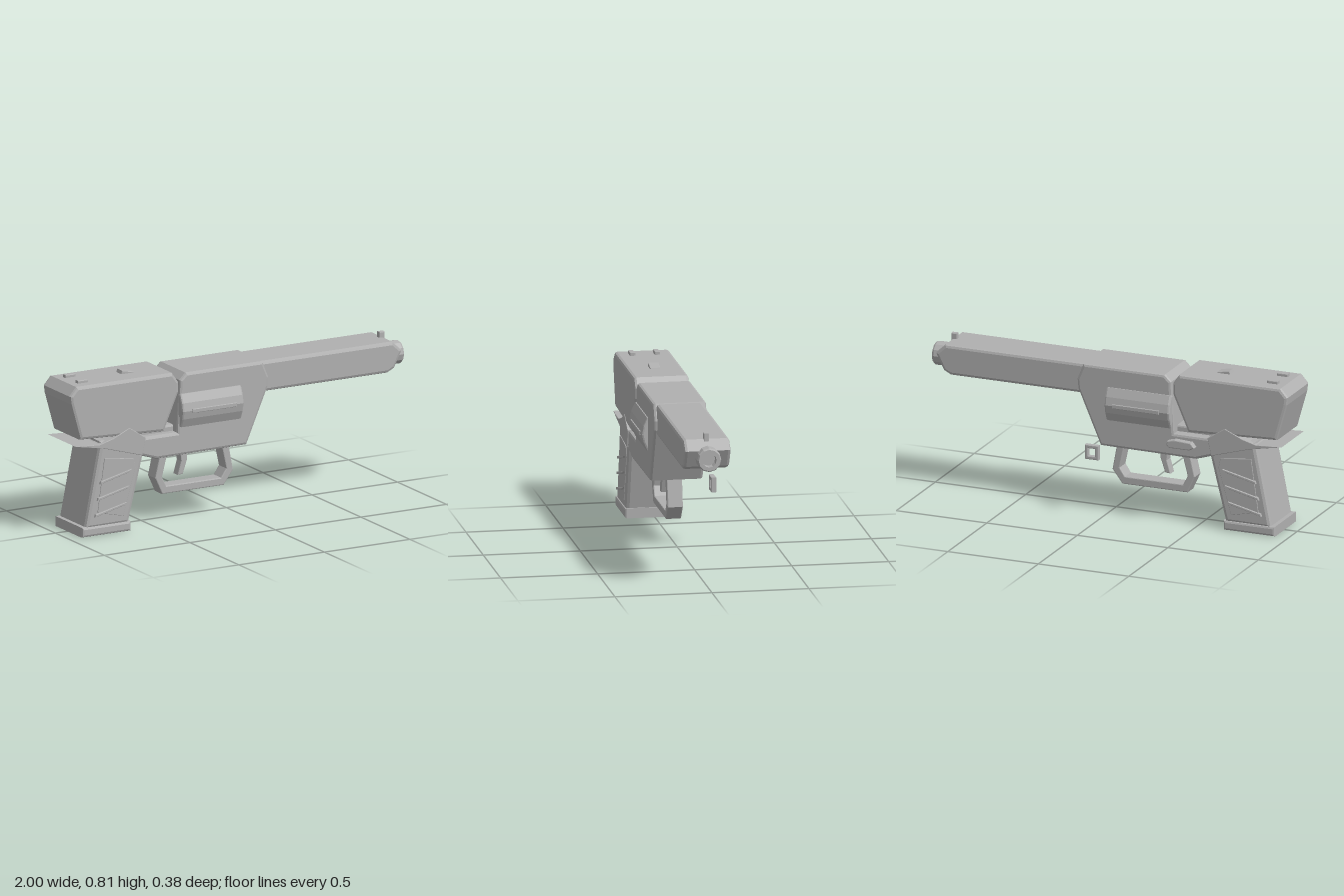
import * as THREE from 'three';

const CZ = 0.012; // centre plane of the body

export function createModel() {
  const group = new THREE.Group();
  const grey = new THREE.MeshStandardMaterial({ color: 0xb0b0b0 });
  grey.name = 'grey';

  const add = (name, geo, x = 0, y = 0, z = CZ) => {
    const mesh = new THREE.Mesh(geo, grey);
    mesh.name = name;
    mesh.position.set(x, y, z);
    group.add(mesh);
    return mesh;
  };
  const toVectors = (pts) => pts.map(([x, y]) => new THREE.Vector2(x, y));

  // Side profile extruded to a full width, bevelled inwards and centred on z
  const slab = (pts, width, bevel, hole) => {
    const shape = new THREE.Shape(toVectors(pts));
    if (hole) shape.holes.push(new THREE.Path(toVectors(hole)));
    const geo = new THREE.ExtrudeGeometry(shape, {
      depth: width - 2 * bevel, bevelEnabled: true, bevelThickness: bevel,
      bevelSize: bevel, bevelOffset: -bevel, bevelSegments: 2,
    });
    return geo.translate(0, 0, bevel - width / 2);
  };
  const rect = (x0, x1, y0, y1) => [[x0, y0], [x1, y0], [x1, y1], [x0, y1]];

  // Main body blocks
  add('rearBlock', slab([
    [-0.94, 0.515], [-0.45, 0.495], [-0.365, 0.69], [-0.365, 0.745],
    [-0.4, 0.795], [-0.96, 0.795], [-1, 0.75], [-0.995, 0.71],
  ], 0.284, 0.015));
  add('frame', slab([
    [-0.6, 0.39], [-0.49, 0.355], [0.035, 0.36], [0.16, 0.65], [0.165, 0.7],
    [0.13, 0.785], [-0.32, 0.785], [-0.355, 0.75], [-0.372, 0.478], [-0.58, 0.478],
  ], 0.276, 0.014));
  add('innerBridge', slab(rect(-0.7, -0.33, 0.44, 0.51), 0.18, 0.01));
  add('barrelShroud', slab([
    [0.08, 0.62], [0.87, 0.62], [0.91, 0.64], [0.955, 0.73], [0.9, 0.78], [0.08, 0.78],
  ], 0.24, 0.016));
  add('underLug', slab(rect(0.07, 0.14, 0.535, 0.59), 0.052, 0.006));

  // Hollow muzzle ring turned around the x axis
  const muzzle = new THREE.LatheGeometry(toVectors([
    [0.036, 0.9], [0.062, 0.9], [0.062, 0.99], [0.056, 1], [0.036, 1], [0.036, 0.9],
  ]), 12).toNonIndexed();
  muzzle.computeVertexNormals();
  add('muzzle', muzzle.rotateZ(-Math.PI / 2), 0, 0.69);
  const plug = new THREE.CircleGeometry(0.037, 12).rotateY(Math.PI / 2);
  add('muzzleBack', plug, 0.958, 0.69);

  // Bulging drum seen on both sides, with a raised rib
  const drum = slab([
    [-0.143, 0.505], [-0.1, 0.5], [0.1, 0.5], [0.143, 0.505], [0.163, 0.55], [0.172, 0.592],
    [0.163, 0.635], [0.143, 0.68], [-0.143, 0.68], [-0.163, 0.635], [-0.172, 0.592], [-0.163, 0.55],
  ], 0.36, 0.01).rotateY(Math.PI / 2);
  add('drum', drum, -0.18);
  for (const s of [1, -1]) {
    add('drumRib', slab(rect(-0.305, -0.045, 0.58, 0.602), 0.016, 0.003), 0, 0, CZ + s * 0.168);
  }

  // Sights
  add('frontSight', slab(rect(0.88, 0.912, 0.75, 0.81), 0.026, 0.004));
  for (const s of [1, -1]) {
    add('rearSight', slab(rect(-0.92, -0.86, 0.78, 0.81), 0.028, 0.004), 0, 0, CZ + s * 0.064);
  }
  add('sightRamp', slab([[-0.64, 0.785], [-0.56, 0.785], [-0.565, 0.8], [-0.63, 0.812]], 0.054, 0.003));

  // Guard loop and trigger
  add('triggerGuard', slab([
    [-0.41, 0.375], [-0.445, 0.225], [-0.405, 0.137], [-0.045, 0.137], [0.01, 0.21], [-0.02, 0.375],
  ], 0.08, 0.005, [
    [-0.37, 0.362], [-0.405, 0.225], [-0.38, 0.177], [-0.06, 0.177], [-0.03, 0.222], [-0.06, 0.362],
  ]));
  add('trigger', slab([
    [-0.295, 0.37], [-0.285, 0.29], [-0.305, 0.22], [-0.275, 0.222], [-0.248, 0.3], [-0.25, 0.37],
  ], 0.05, 0.005));

  // Grip, base plate and rear tang
  add('grip', slab([
    [-0.91, 0.04], [-0.655, 0.04], [-0.57, 0.38], [-0.6, 0.49], [-0.82, 0.49],
  ], 0.276, 0.02));
  add('basePlate', slab(rect(-0.93, -0.645, 0, 0.052), 0.286, 0.012));
  add('tang', slab([
    [-0.97, 0.485], [-0.79, 0.45], [-0.58, 0.388], [-0.56, 0.48], [-0.655, 0.543], [-0.75, 0.5], [-0.83, 0.478],
  ], 0.29, 0.003));
  for (const s of [1, -1]) {
    add('gripPanel', slab([
      [-0.84, 0.12], [-0.69, 0.085], [-0.62, 0.33], [-0.63, 0.38], [-0.8, 0.4],
    ], 0.008, 0.002), 0, 0, CZ + s * 0.138);
    for (let i = 0; i < 3; i++) {
      const y = 0.1 + i * 0.085, x = i * 0.015;
      add('gripRib', slab([
        [-0.86 + x, y], [-0.69 + x, y + 0.042], [-0.675 + x, y + 0.057], [-0.855 + x, y + 0.015],
      ], 0.018, 0.003), 0, 0, CZ + s * 0.143);
    }
  }

  // Small fittings standing off the rear side
  add('sideRing', slab(rect(0.02, 0.095, 0.3, 0.377), 0.028, 0.004, rect(0.038, 0.077, 0.318, 0.359)), 0, 0, -0.172);
  add('sideLever', slab([
    [-0.51, 0.435], [-0.48, 0.42], [-0.37, 0.42], [-0.355, 0.435], [-0.36, 0.455], [-0.4, 0.465], [-0.49, 0.46],
  ], 0.036, 0.005), 0, 0, -0.17);

  return group;
}
